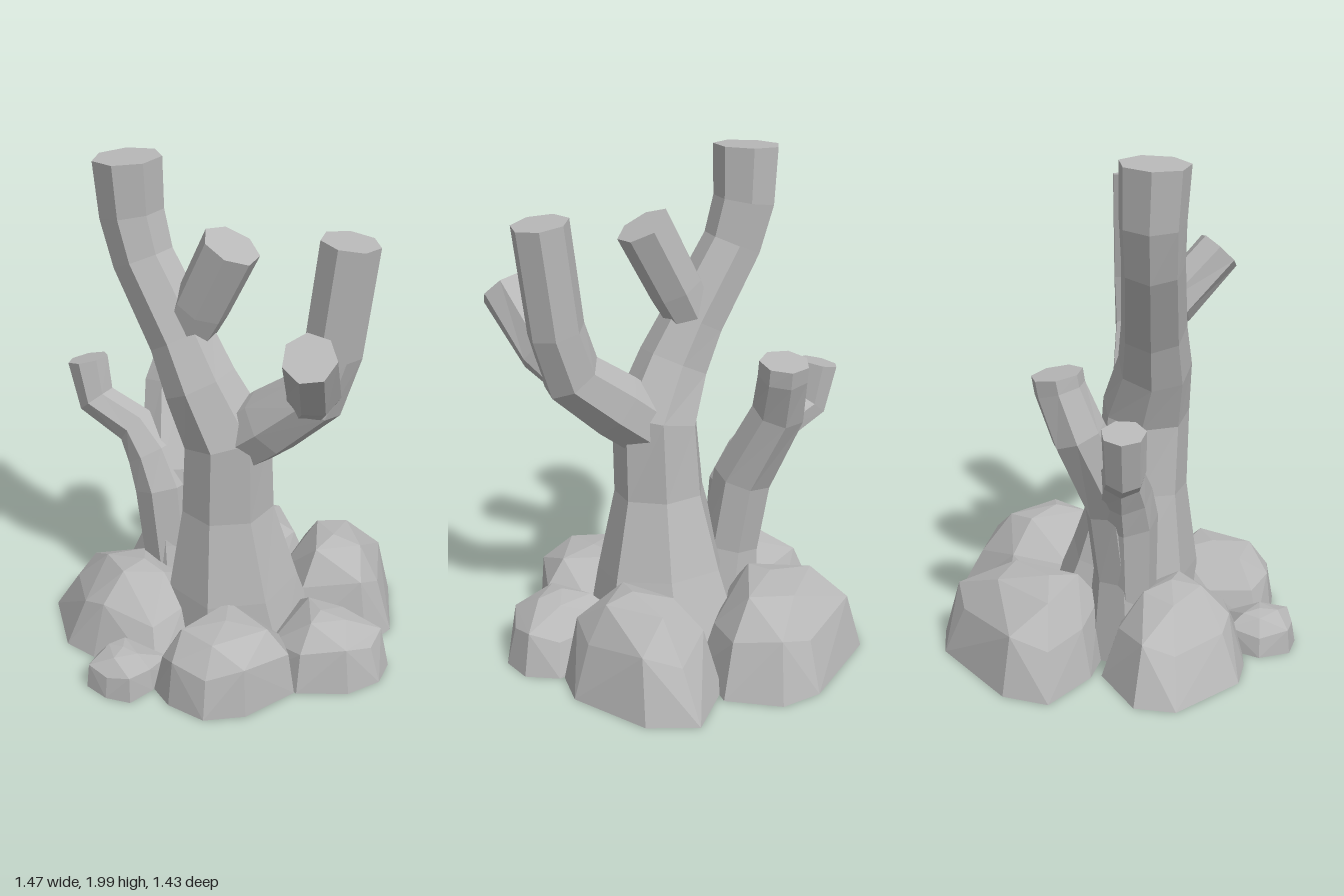
import * as THREE from 'three';
import { ConvexGeometry } from 'three/addons/geometries/ConvexGeometry.js';

const SIDES = 7;

// Faceted limb: rings set square to a path of [x, y, z, radius], capped at both ends
function limbGeometry(path, turn) {
  const centres = path.map(p => new THREE.Vector3(p[0], p[1], p[2]));
  const rings = centres.map((c, i) => {
    const before = centres[Math.max(i - 1, 0)];
    const after = centres[Math.min(i + 1, centres.length - 1)];
    const t = new THREE.Vector3();
    if (before !== c) t.add(c.clone().sub(before).normalize());
    if (after !== c) t.add(after.clone().sub(c).normalize());
    t.normalize();
    const u = new THREE.Vector3(0, 0, 1).addScaledVector(t, -t.z).normalize();
    const v = t.clone().cross(u);
    return Array.from({ length: SIDES }, (_, k) => {
      const a = turn + k / SIDES * Math.PI * 2;
      const p = c.clone()
        .addScaledVector(u, Math.cos(a) * path[i][3])
        .addScaledVector(v, Math.sin(a) * path[i][3]);
      // Rings at the foot lie flat on the ground
      if (c.y === 0) p.y = 0;
      return p;
    });
  });
  const pts = [];
  const last = rings.length - 1;
  for (let k = 0; k < SIDES; k++) {
    const n = (k + 1) % SIDES;
    for (let j = 0; j < last; j++) {
      const a = rings[j][k], b = rings[j][n], c = rings[j + 1][n], d = rings[j + 1][k];
      pts.push(a, b, c, a, c, d);
    }
    pts.push(centres[0], rings[0][n], rings[0][k]);
    pts.push(centres[last], rings[last][k], rings[last][n]);
  }
  const geometry = new THREE.BufferGeometry().setFromPoints(pts);
  geometry.computeVertexNormals();
  return geometry;
}

// Boulder: hull of a ground outline, an uneven shoulder ring and a small crown
function rockGeometry(outline, top, shoulder, crown) {
  const [tx, h, tz] = top;
  const pts = [];
  outline.forEach(([x, z], i) => {
    const at = (s, y) => pts.push(new THREE.Vector3(tx + (x - tx) * s, y, tz + (z - tz) * s));
    const wobble = (i * 3 % 5 - 2) / 2;
    at(1, 0);
    at(shoulder + wobble * 0.03, h * (0.6 + wobble * 0.09));
    if (i % 2 === 0) at(crown, h * (0.95 + wobble * 0.03));
  });
  pts.push(new THREE.Vector3(tx, h, tz));
  return new ConvexGeometry(pts);
}

export function createModel() {
  const group = new THREE.Group();
  const stone = new THREE.MeshStandardMaterial({ color: 0xb8b8b8, flatShading: true });
  stone.name = 'grey stone';
  const add = (name, geometry) => {
    const mesh = new THREE.Mesh(geometry, stone);
    mesh.name = name;
    group.add(mesh);
  };

  // Trunk, leaning into the tallest limb
  add('trunk', limbGeometry([
    [0.04, 0, -0.01, 0.35], [0.05, 0.3, 0.05, 0.265], [0.045, 0.62, 0.08, 0.186],
    [0.055, 0.93, 0.095, 0.178], [-0.045, 1.14, 0.135, 0.148], [-0.13, 1.31, 0.135, 0.13],
    [-0.3, 1.6, 0.14, 0.122], [-0.35, 1.77, 0.14, 0.127], [-0.36, 1.985, 0.148, 0.135]], 0.2));
  add('upperFork', limbGeometry([
    [-0.14, 1.26, 0.12, 0.09], [-0.045, 1.45, 0.12, 0.11], [0.09, 1.71, 0.12, 0.115]], 0.4));

  // Left limb and its forward fork
  add('leftLimb', limbGeometry([
    [0.06, 0.88, 0.08, 0.13], [0.24, 1.02, 0.075, 0.135], [0.42, 1.165, 0.06, 0.122],
    [0.485, 1.36, 0.04, 0.113], [0.54, 1.78, 0.03, 0.113]], 0.1));
  add('leftFork', limbGeometry([
    [0.41, 1.15, 0.07, 0.09], [0.49, 1.245, 0.18, 0.102], [0.58, 1.455, 0.37, 0.1]], 0.3));

  // Small right stem with its back and side limbs
  add('rightStem', limbGeometry([
    [-0.2, 0, 0.04, 0.17], [-0.25, 0.36, 0.03, 0.12], [-0.29, 0.66, 0, 0.122],
    [-0.38, 0.97, -0.13, 0.108], [-0.36, 1.14, -0.2, 0.1], [-0.36, 1.2, -0.21, 0.1]], 0.3));
  add('rightFork', limbGeometry([
    [-0.25, 0.25, 0.05, 0.11], [-0.29, 0.6, 0.045, 0.122], [-0.35, 0.73, 0.04, 0.108],
    [-0.43, 0.825, 0.04, 0.085], [-0.615, 0.91, 0.06, 0.08], [-0.655, 1.08, 0.06, 0.084]], 0.2));

  // Boulders around the foot: outline, peak, shoulder and crown scale
  const rocks = [
    ['backRightRock', [[-0.69, -0.22], [-0.64, -0.4], [-0.3, -0.68], [-0.13, -0.71], [0.06, -0.58],
      [0.04, -0.3], [-0.2, -0.03], [-0.47, -0.08]], [-0.29, 0.345, -0.26], 0.82, 0.48],
    ['backLeftRock', [[0.22, -0.72], [0.41, -0.64], [0.58, -0.34], [0.56, -0.17], [0.3, -0.02],
      [0.04, -0.2], [0.03, -0.5]], [0.32, 0.39, -0.3], 0.77, 0.45],
    ['leftRock', [[0.58, -0.17], [0.7, -0.1], [0.73, 0.03], [0.67, 0.17], [0.5, 0.28],
      [0.3, 0.22], [0.25, -0.1]], [0.48, 0.265, 0.07], 0.86, 0.42],
    ['frontLeftRock', [[0.02, 0.56], [0.13, 0.62], [0.3, 0.63], [0.42, 0.52], [0.49, 0.28],
      [0.36, 0.12], [0.1, 0.14], [-0.02, 0.36]], [0.23, 0.285, 0.37], 0.91, 0.6],
    ['frontRightRock', [[-0.71, 0.26], [-0.69, 0.1], [-0.45, -0.04], [-0.12, 0.02], [0.02, 0.28],
      [-0.02, 0.49], [-0.32, 0.51], [-0.47, 0.49]], [-0.27, 0.335, 0.22], 0.77, 0.4],
    ['pebble', [[-0.26, 0.57], [-0.21, 0.69], [-0.1, 0.715], [0, 0.69], [0.02, 0.57],
      [0.01, 0.42], [-0.2, 0.44]], [-0.12, 0.15, 0.57], 0.92, 0.5],
  ];
  for (const [name, outline, top, shoulder, crown] of rocks)
    add(name, rockGeometry(outline, top, shoulder, crown));

  return group;
}
